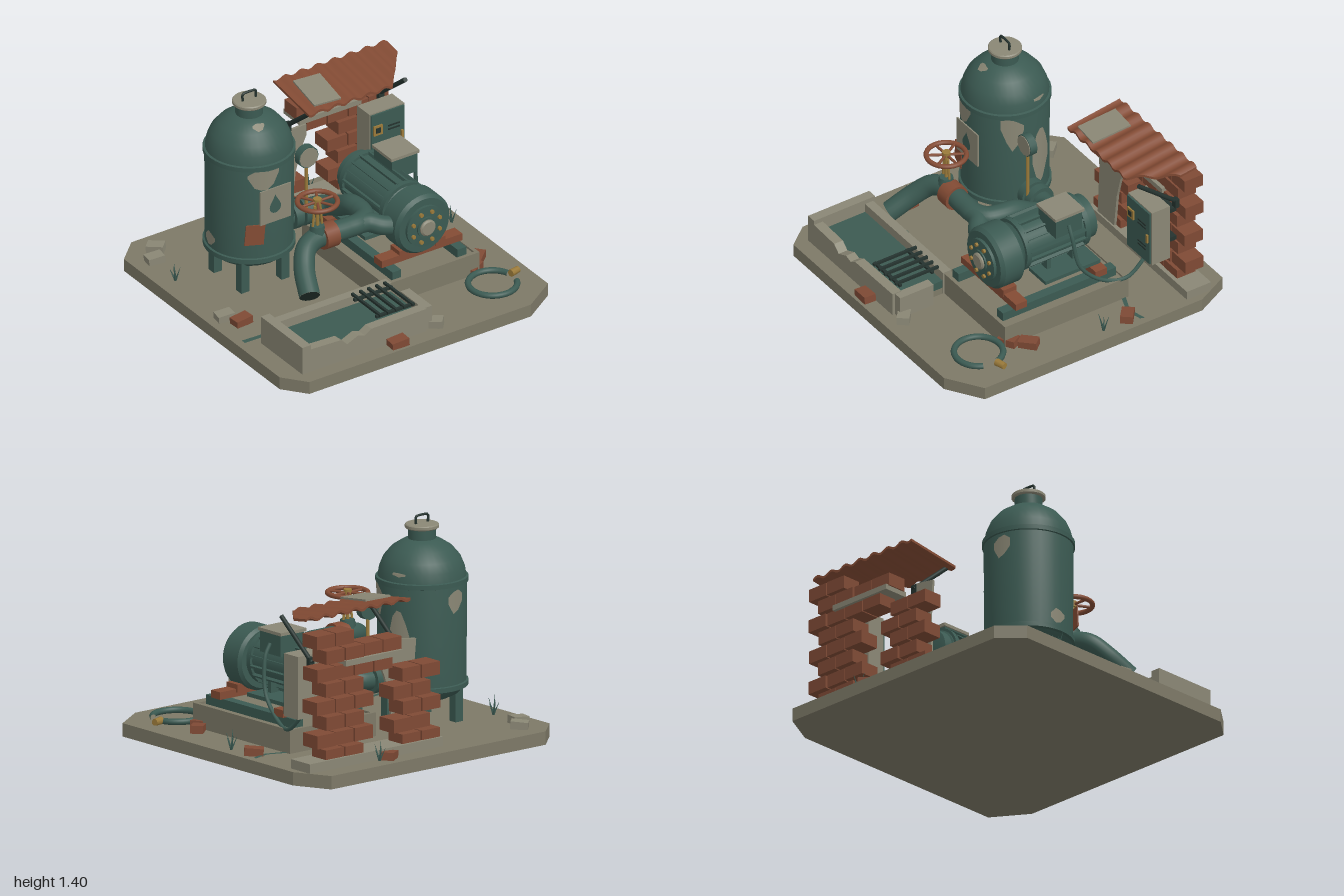
import * as THREE from 'three';
import { toCreasedNormals } from 'three/addons/utils/BufferGeometryUtils.js';

const mat = (name, color, side = THREE.FrontSide) => {
  const m = new THREE.MeshStandardMaterial({ color, side });
  m.name = name;
  return m;
};

export function createModel() {
  const root = new THREE.Group();
  root.name = 'pumpStation';
  const concrete = mat('concrete', 0x7d7967), pale = mat('paleConcrete', 0x8a8775);
  const teal = mat('tealPaint', 0x3b5a52), water = mat('water', 0x3c5a51, THREE.DoubleSide);
  const rust = mat('rust', 0x834b34), brick = mat('brick', 0x7f4a35);
  const brass = mat('brass', 0x9a7a3a), dark = mat('darkSteel', 0x25332f, THREE.DoubleSide);

  const add = (name, geo, m, x = 0, y = 0, z = 0) => {
    const mesh = new THREE.Mesh(geo, m);
    mesh.name = name;
    mesh.position.set(x, y, z);
    root.add(mesh);
    return mesh;
  };
  // Box given by its ranges
  const box = (name, m, x0, x1, y0, y1, z0, z1) => add(name, new THREE.BoxGeometry(x1 - x0, y1 - y0, z1 - z0),
    m, (x0 + x1) / 2, (y0 + y1) / 2, (z0 + z1) / 2);
  const V = (x, y, z) => new THREE.Vector3(x, y, z);
  // Straight round bar between two points
  const rod = (name, m, a, b, r, r2 = r, seg = 12) => {
    const mesh = add(name, new THREE.CylinderGeometry(r2, r, a.distanceTo(b), seg), m);
    mesh.position.copy(a).add(b).multiplyScalar(0.5);
    mesh.quaternion.setFromUnitVectors(V(0, 1, 0), b.clone().sub(a).normalize());
    return mesh;
  };
  const tube = (name, m, pts, r, seg = 40, sides = 16) => add(name,
    new THREE.TubeGeometry(new THREE.CatmullRomCurve3(pts.map(p => V(...p)), false, 'centripetal'), seg, r, sides), m);
  const polygon = pts => new THREE.Shape(pts.map(p => new THREE.Vector2(...p)));
  const extrude = (pts, depth) => new THREE.ExtrudeGeometry(polygon(pts), { depth, bevelEnabled: false });

  // Ground slab with clipped corners
  const slab = extrude([[-1, 0.86], [-0.85, 1], [0.885, 1], [1, 0.77], [1, -0.85], [0.77, -1], [-0.88, -1], [-1, -0.85]], 0.085);
  add('groundSlab', slab.rotateX(-Math.PI / 2), concrete);

  // Tank: body, bands, lid, legs
  const tx = -0.455, tz = -0.288;
  const profile = [[0, 0.24], [0.17, 0.245], [0.23, 0.275], [0.275, 0.335], [0.278, 0.99], [0.265, 1.07], [0.24, 1.13], [0.19, 1.19], [0.12, 1.235], [0.086, 1.245], [0.086, 1.315]];
  const lathe = (pts, seg = 36) => toCreasedNormals(new THREE.LatheGeometry(pts.map(p => new THREE.Vector2(...p)), seg), 0.6);
  add('tankBody', lathe(profile), teal, tx, 0, tz);
  for (const y of [0.335, 0.995]) add('tankBand', lathe([[0.27, y - 0.02], [0.288, y - 0.015], [0.288, y + 0.015], [0.27, y + 0.02]]), teal, tx, 0, tz);
  add('tankLid', lathe([[0, 1.31], [0.1, 1.31], [0.106, 1.316], [0.106, 1.332], [0.1, 1.338], [0, 1.342]]), pale, tx, 0, tz);
  tube('lidHandle', dark, [[tx - 0.048, 1.33, tz], [tx - 0.048, 1.385, tz], [tx - 0.04, 1.39, tz], [tx + 0.04, 1.39, tz], [tx + 0.048, 1.385, tz], [tx + 0.048, 1.33, tz]], 0.008, 24, 8);
  for (const sx of [-1, 1]) for (const sz of [-1, 1])
    box('tankLeg', teal, tx + sx * 0.15 - 0.03, tx + sx * 0.15 + 0.03, 0.085, 0.31, tz + sz * 0.15 - 0.03, tz + sz * 0.15 + 0.03);

  // Worn paint patches that follow the tank surface: angle range and [low, high] per column
  const tankRadius = y => {
    const i = Math.max(1, profile.findIndex(p => p[1] >= y));
    const [a, b] = [profile[i - 1], profile[i]];
    return a[0] + (b[0] - a[0]) * (y - a[1]) / (b[1] - a[1]);
  };
  const wear = (a0, a1, cols) => {
    const n = cols.length - 1, g = new THREE.PlaneGeometry(1, 1, n, 4), p = g.attributes.position;
    for (let i = 0; i < p.count; i++) {
      const u = p.getX(i) + 0.5, [lo, hi] = cols[Math.round(u * n)];
      const y = lo + (hi - lo) * (p.getY(i) + 0.5), a = a0 + (a1 - a0) * u, r = tankRadius(y) + 0.004;
      p.setXYZ(i, Math.sin(a) * r, y, Math.cos(a) * r);
    }
    g.computeVertexNormals();
    add('wornPatch', g, pale, tx, 0, tz);
  };
  wear(-0.63, 0.12, [[0.93, 0.95], [0.86, 0.975], [0.84, 0.975], [0.84, 0.97], [0.87, 0.97], [0.95, 0.97]]);
  wear(0.88, 1.4, [[0.9, 0.97], [0.8, 0.975], [0.73, 0.97], [0.78, 0.95], [0.88, 0.92]]);
  wear(1.62, 2.18, [[0.6, 0.68], [0.48, 0.8], [0.42, 0.84], [0.45, 0.83], [0.52, 0.76], [0.58, 0.66]]);
  wear(3.05, 3.5, [[0.88, 0.92], [0.81, 0.95], [0.83, 0.96], [0.88, 0.93]]);
  wear(-1.85, -1.45, [[0.4, 0.43], [0.37, 0.47], [0.38, 0.46], [0.42, 0.44]]);
  wear(-0.45, 0.1, [[1.215, 1.225], [1.2, 1.232], [1.205, 1.23], [1.22, 1.228]]);
  wear(1.7, 2.05, [[1.06, 1.075], [1.05, 1.075], [1.06, 1.07]]);

  // Plates on the tank front
  box('tankPlate', pale, tx - 0.11, tx + 0.12, 0.6, 0.84, -0.012, -0.003);
  const drop = new THREE.Shape();
  drop.moveTo(0, 0.07);
  drop.bezierCurveTo(0.015, 0.03, 0.042, 0.01, 0.042, -0.02);
  drop.bezierCurveTo(0.042, -0.075, -0.042, -0.075, -0.042, -0.02);
  drop.bezierCurveTo(-0.042, 0.01, -0.015, 0.03, 0, 0.07);
  add('waterDropMark', new THREE.ShapeGeometry(drop, 8), teal, tx, 0.725, 0);
  const patch = box('rustPatchPlate', rust, -0.65, -0.525, 0.46, 0.6, -0.035, -0.027);
  patch.rotation.set(0, -0.3, -0.08);

  // Brick wall with an opening, on a footing
  box('wallFooting', pale, -0.13, 0.95, 0.085, 0.145, -0.87, -0.69);
  for (let row = 0; row < 8; row++) for (let k = 0; k < 6; k++) {
    const x = (row % 2 ? 0.735 : 0.6575) - 0.155 * k;
    const keep = row < 5 ? x < 0.15 || x > 0.42 : row < 7 ? x > 0.19 : x > 0.57;
    const dz = ((row * 7 + k * 5) % 4) * 0.003;
    if (keep) box('brick', brick, x, x + 0.146, 0.121 + row * 0.105, 0.205 + row * 0.105, -0.852 - dz, -0.717 - dz);
  }
  box('lintel', pale, 0.2, 0.66, 0.72, 0.755, -0.875, -0.7);
  add('brokenPlaster', extrude([[-0.04, 0.15], [0.14, 0.15], [0.17, 0.4], [0.21, 0.55], [0.25, 0.64], [0.25, 0.715], [0.13, 0.71], [0.1, 0.775], [-0.045, 0.755], [-0.02, 0.5]], 0.018), pale, 0, 0, -0.715);

  // Corrugated canopy with clipped front corner
  const sheet = (x0, x1, z0, front, lift, m, name) => {
    const g = new THREE.BoxGeometry(1, 1, 1, Math.ceil((x1 - x0) * 56), 1, 4), p = g.attributes.position;
    for (let i = 0; i < p.count; i++) {
      const x = x0 + (x1 - x0) * (p.getX(i) + 0.5), z = z0 + (front(x) - z0) * (p.getZ(i) + 0.5);
      const y = 1.04 - (z + 0.79) * 0.14 + 0.012 * Math.sin(x * 52) + p.getY(i) * 0.016 + lift;
      p.setXYZ(i, x, y, z);
    }
    g.computeVertexNormals();
    add(name, g, m);
  };
  sheet(0.065, 0.91, -0.79, x => x < 0.69 ? -0.4 : -0.4 - (x - 0.69) * 1.23, 0, rust, 'canopySheet');
  const roofPatch = box('canopyPatch', pale, 0.14, 0.33, 1.028, 1.04, -0.695, -0.425);
  roofPatch.rotation.set(0.14, -0.08, 0);
  for (const x of [0.115, 0.805]) {
    rod('canopyStrut', dark, V(x, 0.74, -0.72), V(x, 0.98, -0.43), 0.015);
    box('strutAnchor', dark, x - 0.02, x + 0.02, 0.71, 0.77, -0.72, -0.69);
  }

  // Control cabinet
  box('cabinetBody', pale, 0.585, 0.845, 0.365, 0.765, -0.635, -0.5);
  box('cabinetDoor', teal, 0.592, 0.838, 0.373, 0.757, -0.5, -0.488);
  box('cabinetSwitch', brass, 0.605, 0.67, 0.612, 0.68, -0.488, -0.478);
  box('switchInset', dark, 0.62, 0.655, 0.63, 0.665, -0.478, -0.474);
  for (const y of [0.46, 0.485, 0.62, 0.645]) box('cabinetVent', dark, 0.715, 0.8, y, y + 0.01, -0.488, -0.483);
  box('cabinetLatch', brass, 0.81, 0.825, 0.53, 0.59, -0.488, -0.476);
  for (const y of [0.44, 0.66]) box('cabinetBracket', dark, 0.64, 0.79, y, y + 0.03, -0.72, -0.635);
  tube('powerCable', teal, [[0.58, 0.7, -0.06], [0.62, 0.62, -0.06], [0.65, 0.4, -0.1], [0.68, 0.25, -0.26], [0.72, 0.24, -0.4], [0.73, 0.38, -0.56]], 0.013, 36, 8);

  // Pump pad with low curb, rails and beams
  box('pumpPad', concrete, 0.02, 0.72, 0.085, 0.222, -0.41, 0.51);
  for (const [a, b, c, d] of [[0.02, 0.045, -0.41, 0.51], [0.695, 0.72, -0.41, 0.51], [0.045, 0.695, 0.485, 0.51], [0.045, 0.695, -0.41, -0.385]])
    box('padCurb', concrete, a, b, 0.222, 0.236, c, d);
  for (const x of [0.095, 0.58]) box('skidRail', teal, x, x + 0.065, 0.222, 0.282, -0.37, 0.475);
  for (const z of [-0.285, 0.31]) box('skidBeam', rust, 0.07, 0.67, 0.282, 0.33, z, z + 0.085);

  // Motor: ribbed body, end cover, terminal box
  const ax = 0.365, ay = 0.53;
  const lathZ = (name, m, pts, y) => add(name, lathe(pts, 32).rotateX(Math.PI / 2), m, ax, y, 0);
  lathZ('motorBody', teal, [[0, -0.33], [0.11, -0.335], [0.14, -0.325], [0.145, -0.27], [0.155, -0.265], [0.155, 0.21], [0.13, 0.235], [0.1, 0.25], [0.1, 0.27], [0, 0.27]], ay);
  for (let i = 0; i < 16; i++) {
    const a = (i + 0.5) * Math.PI / 8;
    const fin = add('motorFin', new THREE.BoxGeometry(0.03, 0.014, 0.42), teal, ax + Math.cos(a) * 0.16, ay + Math.sin(a) * 0.16, -0.02);
    fin.rotation.z = a;
  }
  for (const z of [-0.24, 0.2]) lathZ('motorRing', teal, [[0.15, z - 0.018], [0.172, z - 0.018], [0.172, z + 0.018], [0.15, z + 0.018]], ay);
  for (const s of [-1, 1]) {
    box('motorFoot', teal, ax + s * 0.15 - 0.09, ax + s * 0.15 + 0.09, 0.33, 0.355, -0.28, 0.13);
    for (const z of [-0.17, 0.02]) box('footWeb', teal, ax + s * 0.11 - 0.03, ax + s * 0.11 + 0.03, 0.35, 0.44, z, z + 0.03);
  }
  box('terminalBox', teal, 0.39, 0.58, 0.63, 0.765, -0.16, 0.035);
  box('terminalLid', pale, 0.38, 0.59, 0.765, 0.785, -0.172, 0.045);

  // Pump casing, cover plate and bolts
  const py = 0.508;
  lathZ('pumpCasing', teal, [[0, 0.245], [0.185, 0.245], [0.204, 0.265], [0.204, 0.4], [0.185, 0.425], [0, 0.43]], py);
  lathZ('coverPlate', teal, [[0.14, 0.42], [0.14, 0.445], [0.07, 0.45], [0.07, 0.46], [0, 0.46]], py);
  lathZ('shaftCap', pale, [[0.055, 0.455], [0.055, 0.47], [0.045, 0.478], [0, 0.478]], py);
  for (let i = 0; i < 8; i++) {
    const a = (i + 0.5) * Math.PI / 4, x = ax + Math.cos(a) * 0.105, y = py + Math.sin(a) * 0.105;
    rod('coverBolt', brass, V(x, y, 0.44), V(x, y, 0.462), 0.014, 0.014, 6);
  }
  for (const x of [0.2, 0.47]) box('pumpFoot', rust, x, x + 0.07, 0.31, 0.36, 0.3, 0.4);

  // Pipework
  tube('mainPipe', teal, [[-0.2, 0.41, -0.275], [-0.04, 0.41, -0.275], [0.04, 0.415, -0.26], [0.09, 0.435, -0.2], [0.097, 0.48, -0.1], [0.097, 0.545, 0.02],
    [0.095, 0.555, 0.12], [0.07, 0.555, 0.2], [0, 0.555, 0.245], [-0.1, 0.555, 0.25], [-0.33, 0.555, 0.25], [-0.42, 0.53, 0.285], [-0.49, 0.45, 0.37], [-0.545, 0.345, 0.51]], 0.066, 90, 20);
  tube('pumpBranch', teal, [[-0.02, 0.555, 0.25], [0.06, 0.55, 0.26], [0.13, 0.53, 0.31], [0.24, 0.51, 0.34]], 0.062, 24, 18);
  const mouth = add('pipeMouth', new THREE.CircleGeometry(0.064, 20), dark, -0.545, 0.345, 0.51);
  mouth.lookAt(-0.6, 0.24, 0.65);
  for (const x of [-0.165, -0.09]) rod('pipeFlange', teal, V(x, 0.41, -0.275), V(x + 0.055, 0.41, -0.275), 0.092, 0.092, 20);
  rod('pipeCoupling', rust, V(-0.285, 0.555, 0.25), V(-0.19, 0.555, 0.25), 0.084, 0.084, 16);

  // Valve with handwheel
  const wx = -0.31, wz = 0.248, wy = 0.818;
  rod('valveBonnet', teal, V(wx, 0.59, wz), V(wx, 0.65, wz), 0.055, 0.045, 8);
  rod('valveStem', brass, V(wx, 0.64, wz), V(wx, 0.84, wz), 0.012);
  for (const s of [-1, 1]) rod('valveYoke', brass, V(wx + s * 0.035, 0.64, wz), V(wx + s * 0.02, 0.79, wz), 0.008);
  add('wheelRim', new THREE.TorusGeometry(0.125, 0.016, 10, 32).rotateX(Math.PI / 2), rust, wx, wy, wz);
  for (let i = 0; i < 3; i++) {
    const c = Math.cos(i * Math.PI / 3) * 0.12, s = Math.sin(i * Math.PI / 3) * 0.12;
    rod('wheelSpoke', rust, V(wx - c, wy, wz - s), V(wx + c, wy, wz + s), 0.009, 0.009, 8);
  }
  rod('wheelHub', brass, V(wx, 0.8, wz), V(wx, 0.84, wz), 0.027);

  // Pressure gauge
  rod('gaugePipe', brass, V(-0.085, 0.44, -0.205), V(-0.085, 0.79, -0.205), 0.011);
  rod('gaugeCase', teal, V(-0.085, 0.845, -0.23), V(-0.085, 0.845, -0.18), 0.074, 0.074, 12);
  rod('gaugeFace', pale, V(-0.085, 0.845, -0.18), V(-0.085, 0.845, -0.175), 0.068, 0.068, 12);

  // Trough with chipped front wall, water and grate
  box('troughFloor', concrete, -0.8, 0.05, 0.085, 0.13, 0.5, 0.85);
  box('troughLeftWall', pale, -0.865, -0.8, 0.085, 0.275, 0.445, 0.9);
  box('troughBackWall', pale, -0.8, 0.055, 0.085, 0.245, 0.46, 0.52);
  box('troughEndWall', pale, 0.05, 0.115, 0.085, 0.24, 0.63, 0.88);
  add('troughFrontWall', extrude([[-0.82, 0.085], [0.06, 0.085], [0.06, 0.245], [-0.35, 0.24], [-0.4, 0.21], [-0.45, 0.225], [-0.53, 0.19], [-0.58, 0.235], [-0.82, 0.245]], 0.065), pale, 0, 0, 0.835);
  box('troughWater', water, -0.8, 0.05, 0.13, 0.185, 0.52, 0.835);
  for (const z of [0.575, 0.815]) box('grateRail', dark, -0.26, 0.025, 0.245, 0.262, z - 0.01, z + 0.01);
  for (let i = 0; i < 5; i++) box('grateBar', dark, -0.245 + i * 0.06, -0.228 + i * 0.06, 0.255, 0.272, 0.52, 0.84);

  // Coiled hose with nozzle
  const hose = add('hose', new THREE.TorusGeometry(0.152, 0.02, 10, 40, 5.6).rotateX(Math.PI / 2), teal, 0.695, 0.112, 0.69);
  hose.rotation.y = -0.42;
  rod('hoseNozzle', brass, V(0.85, 0.115, 0.66), V(0.915, 0.115, 0.645), 0.025, 0.022, 8);

  // Damp streaks on the slab
  for (const pts of [[[-0.95, -0.36], [-0.75, -0.37], [-0.6, -0.34], [-0.48, -0.36], [-0.5, -0.39], [-0.6, -0.37], [-0.75, -0.4], [-0.95, -0.395]],
    [[0.72, 0.39], [0.84, 0.34], [0.96, 0.37], [0.95, 0.34], [0.84, 0.315], [0.72, 0.36]]])
    add('dampStreak', new THREE.ShapeGeometry(polygon(pts)).rotateX(-Math.PI / 2), water, 0, 0.089, 0);

  // Loose bricks and rubble: x, z, turn, material
  for (const [x, z, turn, m] of [[-0.83, 0.18, 0.05, brick], [0.33, -0.9, 0.6, brick], [0.9, -0.28, -0.7, brick], [0.79, 0.38, 0.7, brick], [0.7, 0.47, 0.5, brick], [-0.18, 0.94, -0.05, brick],
    [-0.78, -0.835, -0.8, pale], [-0.86, -0.73, -0.15, pale], [-0.89, 0.08, -0.15, pale], [0.14, 0.87, -0.7, pale]]) {
    const w = m === brick ? 0.12 : 0.11;
    add('rubble', new THREE.BoxGeometry(w, 0.05, 0.08), m, x, 0.108, z).rotation.set(0, turn, 0.08);
  }

  // Grass tufts
  for (const [x, z] of [[0.92, -0.09], [-0.88, -0.47], [0.41, -0.9]]) for (let i = 0; i < 5; i++) {
    const a = i * 1.26, h = 0.08 + (i % 3) * 0.02;
    rod('grassBlade', teal, V(x, 0.085, z), V(x + Math.cos(a) * 0.035, 0.085 + h, z + Math.sin(a) * 0.035), 0.009, 0.001, 4);
  }
  return root;
}
